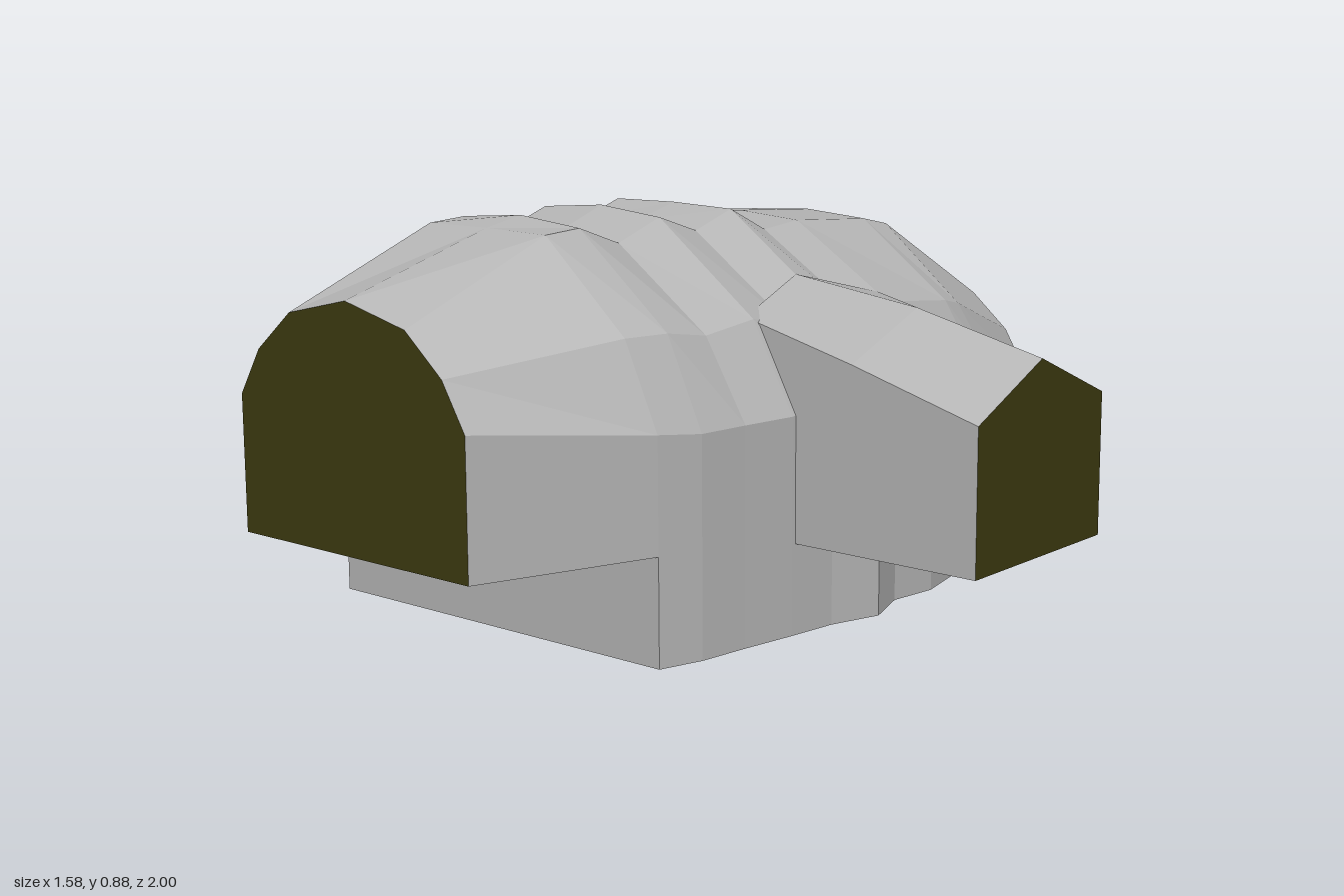
import * as THREE from 'three';

const CX = -0.2; // the hall's long axis lies left of the centre

// Cross-sections of the hall, front to back:
// z, eave half-width, eave y, shoulder half-width, shoulder y, roof edge y, ridge y
const SECTIONS = [
  [1.0, 0.33, 0.53, 0.27, 0.63, 0.715, 0.755],
  [0.61, 0.47, 0.485, 0.385, 0.67, 0.86, 0.862],
  [0.51, 0.5, 0.475, 0.41, 0.67, 0.865, 0.88],
  [0.39, 0.515, 0.475, 0.41, 0.65, 0.822, 0.835],
  [0.26, 0.535, 0.475, 0.43, 0.67, 0.865, 0.88],
  [0.14, 0.55, 0.485, 0.42, 0.65, 0.825, 0.835],
  [0.02, 0.588, 0.49, 0.44, 0.67, 0.862, 0.866],
  [-0.1, 0.545, 0.5, 0.43, 0.64, 0.805, 0.812],
  [-0.22, 0.56, 0.5, 0.43, 0.65, 0.815, 0.826],
  [-0.48, 0.5, 0.475, 0.41, 0.62, 0.795, 0.806],
  [-0.57, 0.475, 0.47, 0.385, 0.6, 0.775, 0.787],
  [-0.96, 0.33, 0.375, 0.27, 0.475, 0.56, 0.6],
];

// Outline of one section, from the left foot over the ridge to the right foot
function sectionRing([z, w, eave, sw, sy, edge, ridge], foot) {
  const side = [[w, foot], [w, eave], [sw, sy], [0.17, edge]];
  const points = [
    ...side.map(([x, y]) => [-x, y]),
    [0, ridge],
    ...side.reverse(),
  ];
  return points.map(([x, y]) => new THREE.Vector3(CX + x, y, z));
}

function geometryFrom(points) {
  const g = new THREE.BufferGeometry().setFromPoints(points);
  g.computeVertexNormals();
  return g;
}

// Skin between successive rings; first and last ring points stay unjoined
function loft(rings) {
  const out = [];
  for (let i = 0; i + 1 < rings.length; i++) {
    const a = rings[i], b = rings[i + 1];
    for (let j = 0; j + 1 < a.length; j++) {
      out.push(a[j], a[j + 1], b[j + 1], a[j], b[j + 1], b[j]);
    }
  }
  // outward facing order
  for (let i = 0; i < out.length; i += 3) [out[i + 1], out[i + 2]] = [out[i + 2], out[i + 1]];
  return geometryFrom(out);
}

// Floor strip between the feet of the rings
function floorOf(rings) {
  const out = [];
  for (let i = 0; i + 1 < rings.length; i++) {
    const l = rings[i][0], r = rings[i].at(-1);
    const l2 = rings[i + 1][0], r2 = rings[i + 1].at(-1);
    out.push(l, l2, r2, l, r2, r);
  }
  return geometryFrom(out);
}

function rectangle(Type, x0, x1, y0, y1) {
  return new Type([[x0, y0], [x1, y0], [x1, y1], [x0, y1]].map(([x, y]) => new THREE.Vector2(x, y)));
}

export function createModel() {
  const model = new THREE.Group();
  const material = (name, color) => {
    const m = new THREE.MeshStandardMaterial({ color, flatShading: true, side: THREE.DoubleSide });
    m.name = name;
    return m;
  };
  const grey = material('hull grey', 0xb4b4b4);
  const olive = material('dark olive', 0x3d3a10);
  const add = (name, geometry, mat, parent = model) => {
    const mesh = new THREE.Mesh(geometry, mat);
    mesh.name = name;
    parent.add(mesh);
    return mesh;
  };

  // Hall in three stretches with different floor heights
  const stretches = [
    ['front', 0, 1, 0.235],
    ['middle', 1, 10, 0],
    ['rear', 10, 11, 0.16],
  ];
  for (const [name, from, to, foot] of stretches) {
    const rings = SECTIONS.slice(from, to + 1).map((s) => sectionRing(s, foot));
    add(name + 'Shell', loft(rings), grey);
    add(name + 'Floor', floorOf(rings), olive);
  }

  // Upright faces where the floor steps down
  const frontStep = SECTIONS[1], rearStep = SECTIONS[10];
  add('frontStep', new THREE.ShapeGeometry(
    rectangle(THREE.Shape, CX - frontStep[1], CX + frontStep[1], 0, 0.235)), grey).position.z = frontStep[0];
  const back = add('rearStep', new THREE.ShapeGeometry(
    rectangle(THREE.Shape, -rearStep[1], rearStep[1], 0, 0.16)), grey);
  back.position.set(CX, 0, rearStep[0]);
  back.rotation.y = Math.PI;

  // End walls; the rear one has a doorway
  const wallShape = (section, foot) => new THREE.Shape(
    sectionRing(section, foot).map((p) => new THREE.Vector2(p.x - CX, p.y)));
  add('frontWall', new THREE.ShapeGeometry(wallShape(SECTIONS[0], 0.235)), olive).position.set(CX, 0, 1);
  const rearShape = wallShape(SECTIONS[11], 0.16);
  rearShape.holes.push(rectangle(THREE.Path, -0.047, 0.047, 0.172, 0.345));
  const rearWall = add('rearWall', new THREE.ShapeGeometry(rearShape), olive);
  rearWall.position.set(CX, 0, -0.96);
  rearWall.rotation.y = Math.PI;

  // Projecting door frame, open through the middle
  const frame = rectangle(THREE.Shape, -0.06, 0.06, 0.16, 0.358);
  frame.holes.push(rectangle(THREE.Path, -0.047, 0.047, 0.172, 0.345));
  add('doorFrame', new THREE.ExtrudeGeometry(frame, { depth: 0.04, bevelEnabled: false }), olive)
    .position.set(CX, 0, -1);

  // Side wing with a pitched roof: x of eave, eave y, x of ridge, ridge y
  const wing = new THREE.Group();
  wing.name = 'sideWing';
  model.add(wing);
  const wingRings = [
    [0.2, 0.67, 0.155, 0.732],
    [0.48, 0.6, 0.48, 0.69],
    [0.79, 0.513, 0.79, 0.617],
  ].map(([x, eave, rx, ridge]) => [
    [x, 0.2, 0.25], [x, eave, 0.25], [rx, ridge, 0.02], [x, eave, -0.22], [x, 0.2, -0.22],
  ].map((p) => new THREE.Vector3(...p)));
  add('wingShell', loft(wingRings.slice().reverse()), grey, wing);
  add('wingFloor', floorOf(wingRings.slice().reverse()), olive, wing);
  const e = wingRings[2];
  add('wingEndWall', geometryFrom([
    e[0], e[4], e[3], e[0], e[3], e[1], e[1], e[3], e[2],
  ]), olive, wing);

  return model;
}
